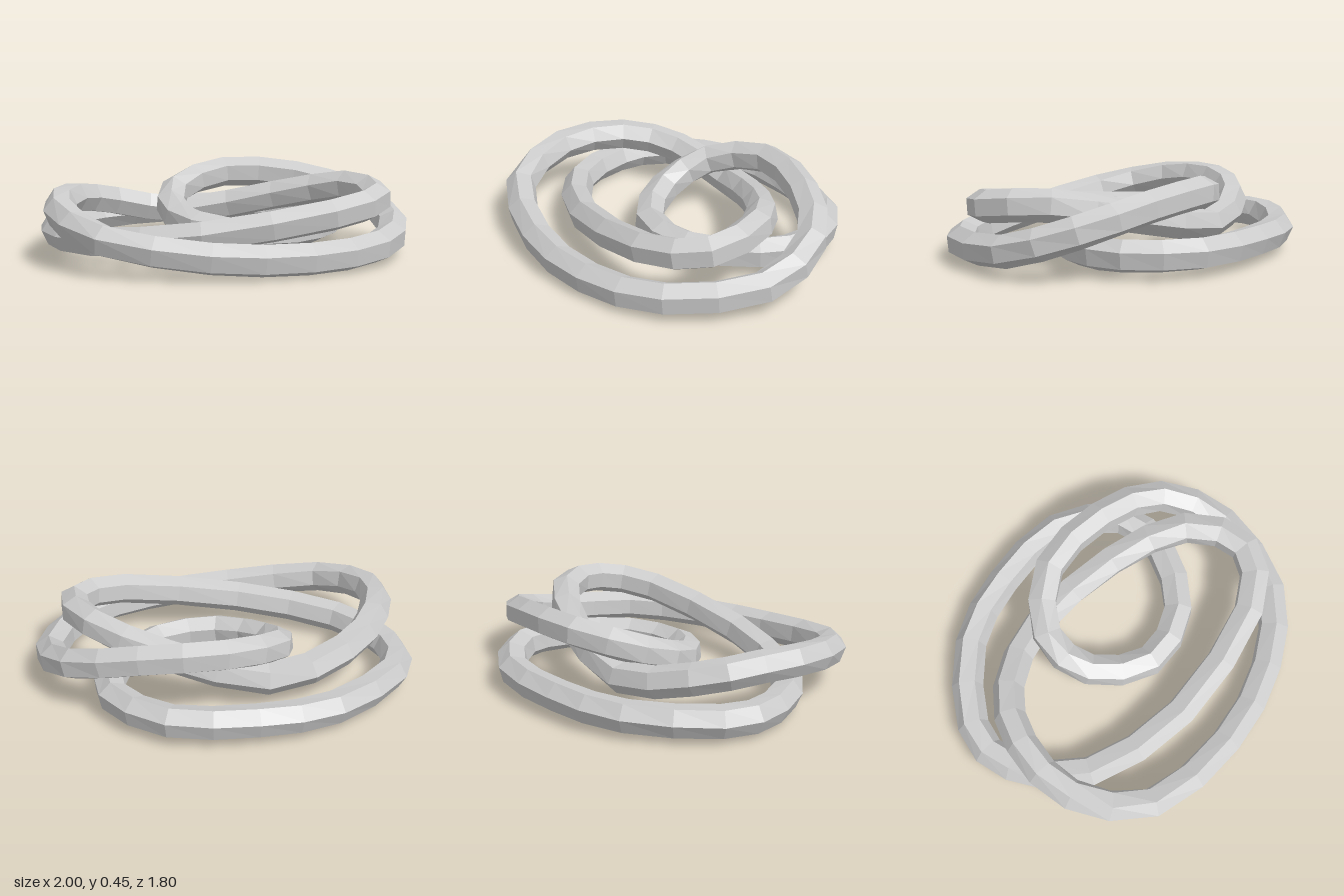
import * as THREE from 'three';

const RADIUS = 0.085, SIDES = 6;

// Centre line of the closed knot: x, y, z
const PATH = [
  // low outer arc round the back
  [-0.92, 0.105, -0.08], [-0.69, 0.11, -0.49], [-0.345, 0.115, -0.71], [0.075, 0.115, -0.82], [0.42, 0.115, -0.67],
  // small inner loop, rising
  [0.5, 0.11, -0.38], [0.38, 0.11, -0.03], [0.08, 0.122, 0.138], [-0.235, 0.175, 0.015], [-0.335, 0.283, -0.25],
  [-0.13, 0.36, -0.54], [0.27, 0.335, -0.655],
  // outer arc down the right side and along the front
  [0.65, 0.243, -0.615], [0.892, 0.13, -0.33], [0.882, 0.095, 0.15], [0.605, 0.083, 0.505], [0.17, 0.105, 0.74],
  [-0.36, 0.18, 0.815], [-0.695, 0.268, 0.565],
  // middle loop, crossing the knot and coming back
  [-0.77, 0.288, 0.2], [-0.66, 0.23, -0.12], [-0.32, 0.152, -0.37], [0.2, 0.25, -0.43], [0.63, 0.334, -0.34],
  [0.84, 0.31, -0.07], [0.66, 0.26, 0.23], [0.05, 0.16, 0.482], [-0.53, 0.105, 0.478], [-0.86, 0.1, 0.225],
];

// Twist of the cross-section: path point, degrees; one sixth of a turn in all, so the ends meet
const TWIST = [[0, 30], [2, 18], [7, -5], [11, 0], [14, 5], [17, 15], [19, 30], [22, 45], [24, 60], [26, 75], [29, 90]];

function twistAt(s) {
  const i = Math.max(1, TWIST.findIndex(([point]) => point >= s));
  const [s0, d0] = TWIST[i - 1], [s1, d1] = TWIST[i];
  return THREE.MathUtils.degToRad(THREE.MathUtils.mapLinear(s, s0, s1, d0, d1));
}

// Six-sided tube along the curve, two rings per path point
function twistedTube(curve) {
  const positions = [], index = [];
  const worldUp = new THREE.Vector3(0, 1, 0);
  const rings = PATH.length * 2;
  for (let i = 0; i <= rings; i++) {
    const t = (i % rings) / rings;
    const centre = curve.getPoint(t);
    const tangent = curve.getTangent(t);
    const side = tangent.clone().cross(worldUp).normalize();
    const up = side.clone().cross(tangent);
    for (let j = 0; j < SIDES; j++) {
      const angle = ((j + 0.5) / SIDES) * Math.PI * 2 + twistAt(i / 2);
      const p = centre.clone()
        .addScaledVector(side, Math.cos(angle) * RADIUS)
        .addScaledVector(up, Math.sin(angle) * RADIUS);
      positions.push(p.x, p.y, p.z);
      if (i === rings) continue;
      const a = i * SIDES + j, c = i * SIDES + (j + 1) % SIDES;
      index.push(a, a + SIDES, c, a + SIDES, c + SIDES, c);
    }
  }
  const geometry = new THREE.BufferGeometry();
  geometry.setAttribute('position', new THREE.Float32BufferAttribute(positions, 3));
  geometry.setIndex(index);
  geometry.computeVertexNormals();
  return geometry;
}

export function createModel() {
  const group = new THREE.Group();
  group.name = 'knot';
  const curve = new THREE.CatmullRomCurve3(PATH.map((p) => new THREE.Vector3(...p)), true, 'catmullrom', 0.5);
  const material = new THREE.MeshStandardMaterial({ color: 0xcccccc, flatShading: true });
  const tube = new THREE.Mesh(twistedTube(curve), material);
  tube.name = 'knottedTube';
  group.add(tube);
  return group;
}
